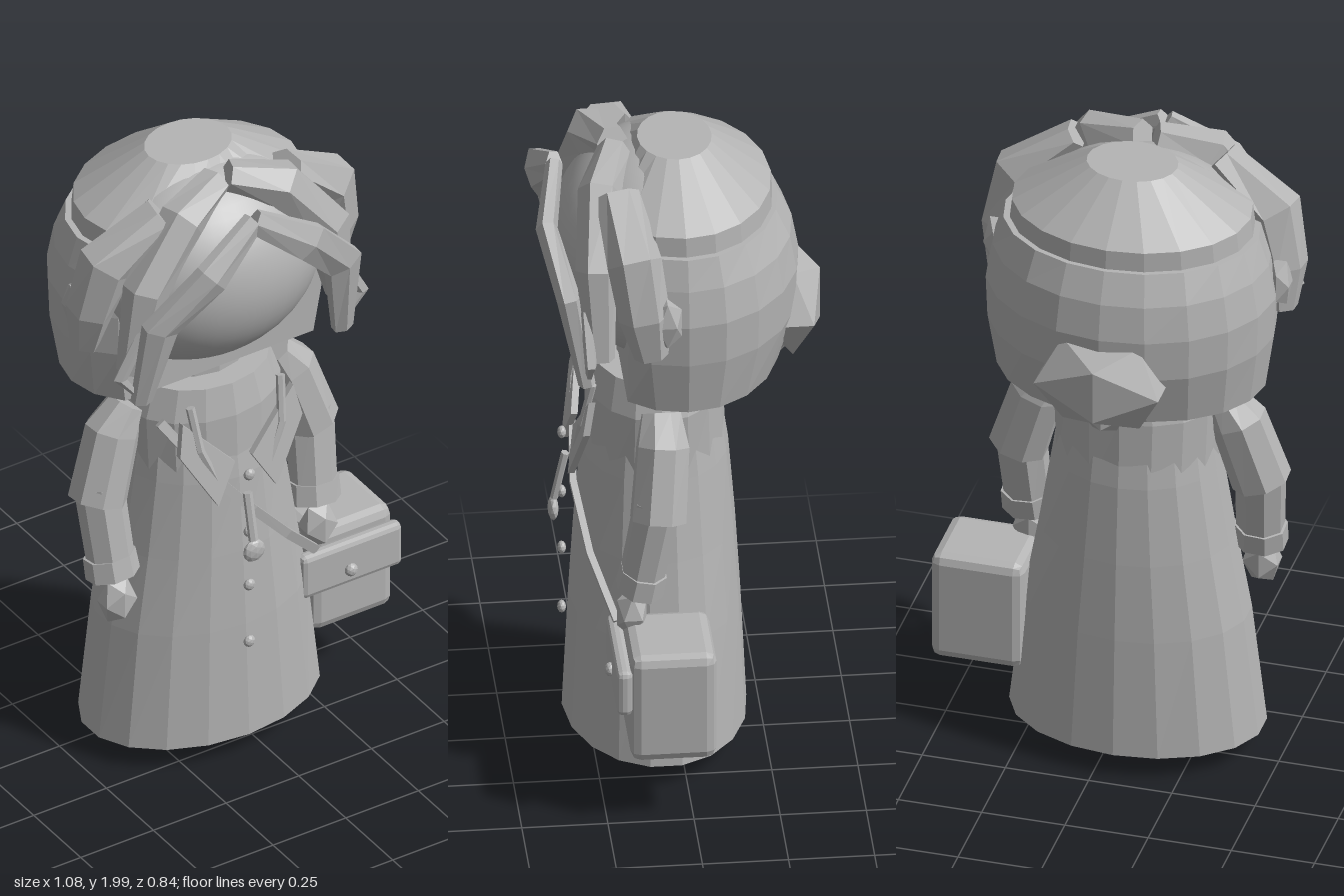
import * as THREE from 'three';
import { RoundedBoxGeometry } from 'three/addons/geometries/RoundedBoxGeometry.js';

const CX = -0.06; // centre line of the figure
const V = (x, y, z) => new THREE.Vector3(x, y, z);

// Faceted normals
function facet(g) {
  const f = g.index ? g.toNonIndexed() : g;
  f.computeVertexNormals();
  return f;
}

// Closed solid through rings of points, each ring counterclockwise about the direction of travel
function loft(rings) {
  const pos = [];
  const tri = (...p) => p.forEach((v) => pos.push(v.x, v.y, v.z));
  const n = rings[0].length;
  for (let i = 0; i < rings.length - 1; i++) {
    for (let j = 0; j < n; j++) {
      const k = (j + 1) % n;
      const a = rings[i][j], b = rings[i][k], c = rings[i + 1][k], d = rings[i + 1][j];
      tri(a, b, c);
      tri(a, c, d);
    }
  }
  [rings[0], rings[rings.length - 1]].forEach((ring, end) => {
    const mid = ring.reduce((s, p) => s.add(p), V(0, 0, 0)).divideScalar(n);
    for (let j = 0; j < n; j++) {
      const k = (j + 1) % n;
      if (end) tri(mid, ring[j], ring[k]);
      else tri(mid, ring[k], ring[j]);
    }
  });
  const g = new THREE.BufferGeometry();
  g.setAttribute('position', new THREE.Float32BufferAttribute(pos, 3));
  g.computeVertexNormals();
  return g;
}

// Stacked ellipses [y, rx, rz], cut flat at zMax
function stack(rows, cz, n = 18, zMax = 9) {
  return loft(rows.map(([y, rx, rz]) => Array.from({ length: n }, (_, j) => {
    const t = (j / n) * Math.PI * 2;
    return V(CX + rx * Math.sin(t), y, Math.min(zMax, cz + rz * Math.cos(t)));
  })));
}

// Bent tapering bar through [x, y, z, width, depth]; x counts from the centre line,
// s mirrors it, and the depth lies along z as far as possible
function bar(path, s = 1, n = 6) {
  const pts = path.map(([x, y, z]) => V(CX + s * x, y, z));
  return loft(pts.map((p, i) => {
    const T = pts[Math.min(i + 1, pts.length - 1)].clone().sub(pts[Math.max(i - 1, 0)]).normalize();
    const U = V(0, 0, 1).cross(T).normalize();
    const W = T.clone().cross(U);
    const [, , , w, d] = path[i];
    return Array.from({ length: n }, (_, j) => {
      const t = ((j + 0.5) / n) * Math.PI * 2;
      return p.clone().addScaledVector(U, w * Math.cos(t)).addScaledVector(W, d * Math.sin(t));
    });
  }));
}

export function createModel() {
  const model = new THREE.Group();
  const grey = new THREE.MeshStandardMaterial({ color: 0xb4b4b4 });
  const add = (name, g) => {
    const m = new THREE.Mesh(g, grey);
    m.name = name;
    model.add(m);
    return m;
  };
  const nugget = (name, x, y, z, rx, ry, rz, detail = 0) =>
    add(name, facet(new THREE.IcosahedronGeometry(1, detail).scale(rx, ry, rz).translate(x, y, z)));

  // Coat and shoulder yoke
  add('coat', stack([[0.07, 0.38, 0.268], [0.45, 0.335, 0.25], [0.7, 0.29, 0.235],
    [0.95, 0.25, 0.215], [1.26, 0.205, 0.17]], 0.062));
  add('yoke', stack([[0.93, 0.24, 0.208], [1.16, 0.25, 0.2], [1.26, 0.215, 0.178]], 0.062, 16));
  add('neck', stack([[1.2, 0.15, 0.12], [1.32, 0.15, 0.12]], 0.05, 12));

  // Head and bowl of hair
  const face = add('face', new THREE.SphereGeometry(1, 40, 28));
  face.scale.set(0.385, 0.33, 0.32);
  face.position.set(CX, 1.635, 0.045);
  add('hairBowl', stack([[1.28, 0.4, 0.3], [1.45, 0.425, 0.352], [1.58, 0.43, 0.357],
    [1.69, 0.41, 0.337], [1.78, 0.38, 0.295]], 0, 20, 0.17));
  add('hairCrown', stack([[1.7, 0.37, 0.29], [1.84, 0.355, 0.28], [1.975, 0.135, 0.108]], 0.003, 20, 0.2));
  nugget('hairBun', CX, 1.42, -0.33, 0.22, 0.16, 0.105);
  nugget('bunTail', CX, 1.295, -0.29, 0.07, 0.065, 0.055);

  for (const s of [1, -1]) {
    const x = (v) => CX + s * v;

    // Locks of hair, from the temple to the parting
    add('sideLock', bar([[0.22, 1.92, 0.19, 0.04, 0.065], [0.38, 1.78, 0.155, 0.09, 0.08],
      [0.42, 1.62, 0.13, 0.07, 0.075], [0.425, 1.49, 0.11, 0.04, 0.05]], s));
    add('fringeLock', bar([[0.02, 1.95, 0.18, 0.05, 0.05], [0.17, 1.9, 0.235, 0.075, 0.065],
      [0.31, 1.72, 0.26, 0.075, 0.06], [0.36, 1.45, 0.25, 0.04, 0.04]], s));
    add('frontLock', bar([[0.0, 1.9, 0.352, 0.04, 0.025], [0.17, 1.785, 0.39, 0.065, 0.032],
      [0.315, 1.63, 0.34, 0.065, 0.035], [0.345, 1.36, 0.29, 0.035, 0.025]], s));
    add('wisp', bar([[0.34, 1.6, 0.29, 0.02, 0.02], [0.415, 1.46, 0.285, 0.022, 0.018],
      [0.355, 1.38, 0.285, 0.008, 0.008]], s, 5));
    nugget('ear', x(0.425), 1.6, 0.065, 0.04, 0.085, 0.05);

    // Sleeve, cuff and hand
    add('upperSleeve', bar([[0.25, 1.19, 0.065, 0.05, 0.06], [0.3, 1.11, 0.065, 0.085, 0.08],
      [0.365, 0.9, 0.085, 0.09, 0.085]], s, 8));
    add('forearm', bar([[0.362, 0.96, 0.085, 0.075, 0.07], [0.347, 0.68, 0.135, 0.072, 0.066]], s, 8));
    add('cuff', bar([[0.35, 0.725, 0.125, 0.08, 0.07], [0.346, 0.66, 0.138, 0.083, 0.072]], s, 8));
    nugget('hand', x(0.345), 0.58, 0.16, 0.062, 0.08, 0.05);

    // Foot
    add('foot', facet(new THREE.CylinderGeometry(0.064, 0.064, 0.12, 6).translate(x(0.13), 0.06, 0.07)));

    // Lapel plate and neck cord
    const shape = new THREE.Shape([[0.19, 1.2], [0.03, 1.03], [0.1, 0.91], [0.21, 1.1]]
      .map(([a, b]) => new THREE.Vector2(x(a), b)));
    const lapel = new THREE.ExtrudeGeometry(shape, { depth: 0.02, bevelEnabled: false });
    const p = lapel.attributes.position;
    for (let i = 0; i < p.count; i++) {
      p.setZ(i, p.getZ(i) + 0.25 + (1.2 - p.getY(i)) * 0.18);
    }
    add('lapel', facet(lapel));
    add('neckCord', bar([[0.155, 1.24, 0.255, 0.014, 0.012], [0.14, 1.1, 0.285, 0.014, 0.012],
      [0.085, 0.97, 0.3, 0.012, 0.01]], s));
  }

  // Pendant and buttons
  add('pendantCord', bar([[0, 0.92, 0.32, 0.015, 0.012], [0, 0.77, 0.352, 0.015, 0.012]]));
  nugget('pendant', CX, 0.735, 0.355, 0.037, 0.037, 0.016, 1);
  for (const y of [0.99, 0.79, 0.6, 0.4]) nugget('button', CX, y, 0.33, 0.019, 0.019, 0.013, 1);

  // Shoulder bag with its strap, flap and clasp
  add('bagStrap', bar([[-0.23, 1.19, 0.21, 0.02, 0.014], [-0.12, 1.02, 0.29, 0.02, 0.014],
    [0.03, 0.84, 0.3, 0.02, 0.014], [0.17, 0.68, 0.265, 0.02, 0.014],
    [0.31, 0.53, 0.2, 0.02, 0.014]], 1, 4));
  const box = (name, w, h, d, r, x, y, z) =>
    add(name, facet(new RoundedBoxGeometry(w, h, d, 1, r).translate(x, y, z)));
  box('bagBody', 0.28, 0.35, 0.25, 0.03, 0.392, 0.39, 0.06);
  box('bagFlap', 0.345, 0.145, 0.045, 0.016, 0.365, 0.452, 0.203);
  nugget('bagClasp', 0.355, 0.433, 0.23, 0.021, 0.021, 0.016, 1);

  return model;
}
